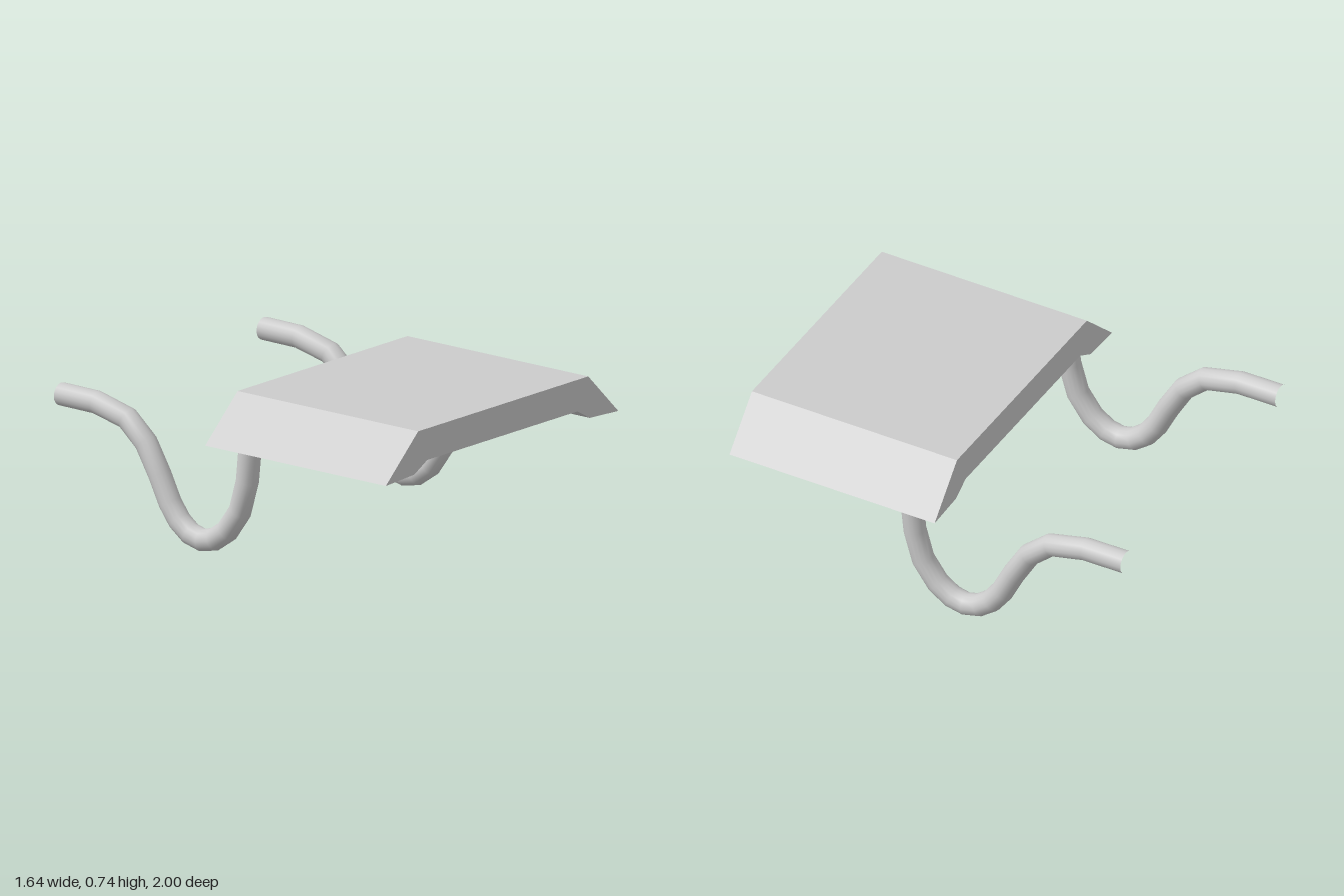
import * as THREE from 'three';

export function createModel() {
  const model = new THREE.Group();
  const material = new THREE.MeshStandardMaterial({ color: 0xcccccc });

  // Tray: bevelled channel profile, extruded front to back
  const half = [[0.6, 0.75], [0.82, 0.54], [0.62, 0.55], [0.53, 0.6]];
  const mirrored = half.map(([x, y]) => [-x, y]).reverse();
  const profile = new THREE.Shape([...half, ...mirrored].map(([x, y]) => new THREE.Vector2(x, y)));
  const trayGeometry = new THREE.ExtrudeGeometry(profile, { depth: 1.06, bevelEnabled: false });
  // Slight backward lean of the end faces
  const lean = 0.033;
  trayGeometry.applyMatrix4(new THREE.Matrix4().set(
    1, 0, 0, 0,
    0, 1, 0, 0,
    0, lean, 1, -0.06 - lean * 0.75,
    0, 0, 0, 1));
  trayGeometry.computeVertexNormals();
  const tray = new THREE.Mesh(trayGeometry, material);
  tray.name = 'tray';
  model.add(tray);

  // Hooked arms: open tubes whose rings sit on the path points (z, y)
  const path = [
    [0.11, 0.545], [0.093, 0.38], [0.05, 0.23], [-0.025, 0.125], [-0.1, 0.073],
    [-0.17, 0.058], [-0.24, 0.076], [-0.305, 0.125], [-0.36, 0.2], [-0.42, 0.32],
    [-0.5, 0.455], [-0.61, 0.55], [-0.79, 0.593], [-0.998, 0.595],
  ];
  for (const side of [1, -1]) {
    const curve = new THREE.CatmullRomCurve3(
      path.map(([z, y]) => new THREE.Vector3(side * 0.715, y, z)));
    curve.getPointAt = (t, target) => curve.getPoint(t, target);
    curve.getTangentAt = (t, target) => curve.getTangent(t, target);
    const arm = new THREE.Mesh(
      new THREE.TubeGeometry(curve, path.length - 1, 0.053, 16, false), material);
    arm.name = side > 0 ? 'leftArm' : 'rightArm';
    model.add(arm);
  }
  return model;
}
